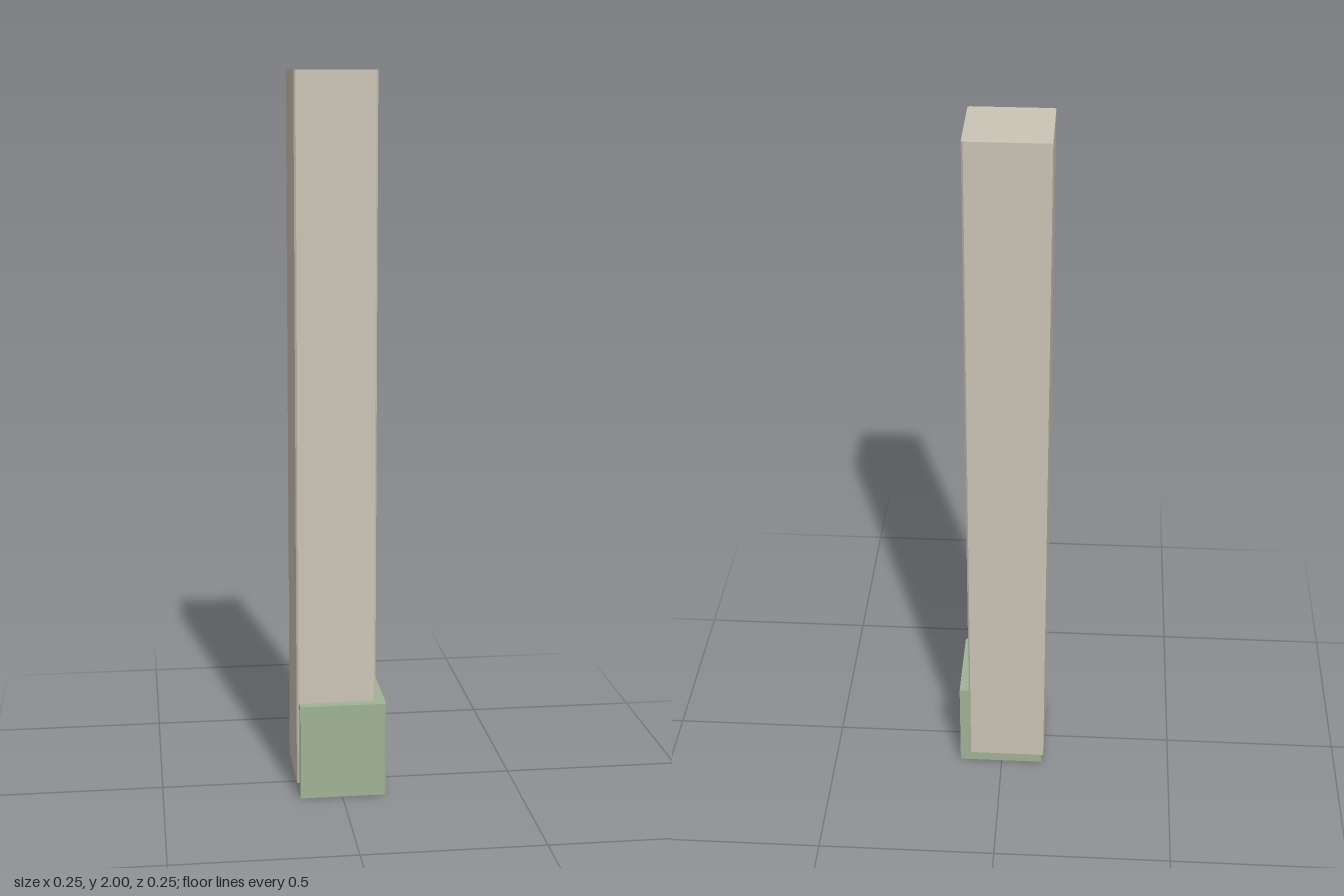
import * as THREE from 'three';

// Upright prism over an x/z rectangle; cuts = bevel at [-x+z, +x+z, +x-z, -x-z] corners
function prism(name, material, x0, x1, z0, z1, y0, y1, cuts = [0, 0, 0, 0]) {
  const corners = [[x0, z1], [x1, z1], [x1, z0], [x0, z0]];
  const points = [];
  corners.forEach(([x, z], i) => {
    const c = cuts[i];
    if (!c) return points.push(new THREE.Vector2(x, -z));
    const sx = x === x0 ? c : -c, sz = z === z0 ? c : -c;
    const alongX = new THREE.Vector2(x + sx, -z);
    const alongZ = new THREE.Vector2(x, -(z + sz));
    points.push(...(i % 2 === 0 ? [alongZ, alongX] : [alongX, alongZ]));
  });
  const geometry = new THREE.ExtrudeGeometry(new THREE.Shape(points), { depth: y1 - y0, bevelEnabled: false });
  geometry.rotateX(-Math.PI / 2).translate(0, y0, 0);
  const mesh = new THREE.Mesh(geometry, material);
  mesh.name = name;
  return mesh;
}

export function createModel() {
  const stone = new THREE.MeshStandardMaterial({ name: 'paleStone', color: 0xcbc4b6 });
  const green = new THREE.MeshStandardMaterial({ name: 'sageGreen', color: 0x9fb394 });
  const model = new THREE.Group();
  model.name = 'cornerPost';

  // Tall post with slightly worn corners, standing proud of the base at the back
  model.add(prism('post', stone, -0.125, 0.097, -0.125, 0.097, 0.035, 2, [0.005, 0.005, 0.005, 0]));

  // Corner base: a floor and an L-shaped skirting on the front and left
  const base = new THREE.Group();
  base.name = 'cornerBase';
  base.add(prism('baseFloor', green, -0.118, 0.097, -0.118, 0.097, 0, 0.035));
  base.add(prism('frontSkirting', green, -0.118, 0.124, 0.097, 0.124, 0, 0.27, [0, 0.005, 0, 0]));
  base.add(prism('sideSkirting', green, 0.097, 0.124, -0.118, 0.097, 0, 0.27));
  model.add(base);

  return model;
}
